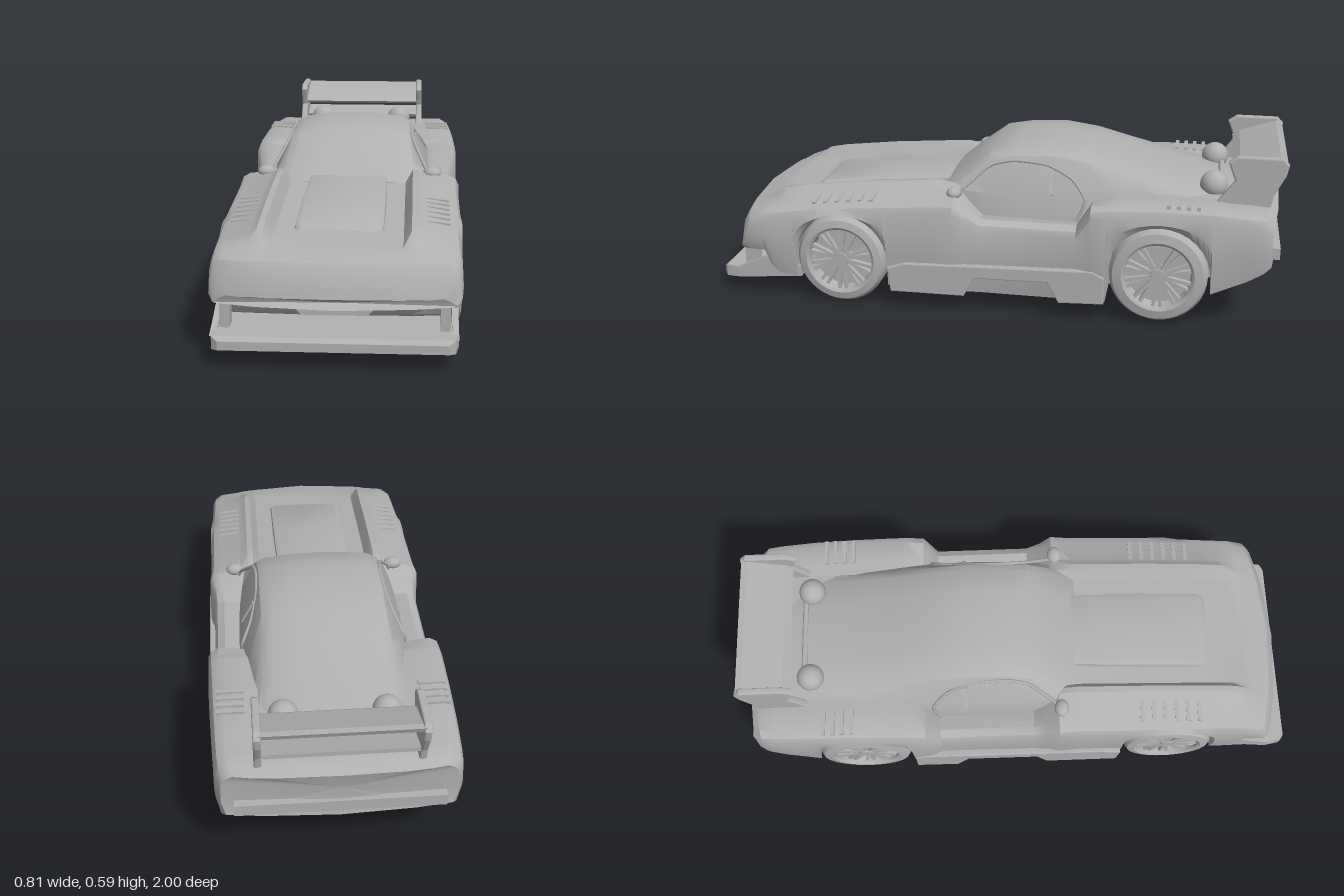
import * as THREE from 'three';
import { toCreasedNormals } from 'three/addons/utils/BufferGeometryUtils.js';

const paint = new THREE.MeshStandardMaterial({ color: 0xb0b0b0 });
paint.name = 'plain grey';

// Skin a list of closed rings (front to back, counter-clockwise from the front), with end caps
function loft(rings, crease = 0.6) {
  const pos = [], idx = [], n = rings[0].length;
  rings.forEach(r => r.forEach(p => pos.push(...p)));
  for (let i = 0; i < rings.length - 1; i++) {
    for (let k = 0; k < n; k++) {
      const a = i * n + k, b = i * n + (k + 1) % n, d = a + n, c = b + n;
      idx.push(a, d, b, b, d, c);
    }
  }
  [0, rings.length - 1].forEach((i, back) => {
    const mid = [0, 1, 2].map(j => rings[i].reduce((s, p) => s + p[j], 0) / n);
    const m = pos.length / 3;
    pos.push(...mid);
    for (let k = 0; k < n; k++) {
      const a = i * n + k, b = i * n + (k + 1) % n;
      if (back) idx.push(m, b, a); else idx.push(m, a, b);
    }
  });
  const g = new THREE.BufferGeometry();
  g.setAttribute('position', new THREE.Float32BufferAttribute(pos, 3));
  g.setIndex(idx);
  return toCreasedNormals(g, crease);
}

// Complete a right-to-left symmetric ring from its +x half (first and last points on the centre line)
const mirrorRing = half => [...half, ...half.slice(1, -1).reverse().map(([x, y, z]) => [-x, y, z])];

// Linear interpolation in a table whose first column is descending z
function sample(table, z) {
  let i = 0;
  while (i < table.length - 2 && z < table[i + 1][0]) i++;
  const a = table[i], b = table[i + 1];
  const t = THREE.MathUtils.clamp((a[0] - z) / (a[0] - b[0]), 0, 1);
  return a.map((v, j) => v + (b[j] - v) * t);
}

function add(parent, name, geo, x = 0, y = 0, z = 0) {
  const m = new THREE.Mesh(geo, paint);
  m.name = name;
  m.position.set(x, y, z);
  parent.add(m);
  return m;
}

const box = (w, h, d) => new THREE.BoxGeometry(w, h, d);
const axles = [
  { z: 0.54, y: 0.162, r: 0.162, arch: 0.17 },
  { z: -0.585, y: 0.185, r: 0.168, arch: 0.176 },
];

// z, half width, underside, shoulder, hood rail, centre height
const bodyTable = [
  [0.97, 0.37, 0.18, 0.205, 0.21, 0.21], [0.955, 0.385, 0.175, 0.27, 0.275, 0.275],
  [0.93, 0.388, 0.175, 0.305, 0.31, 0.31], [0.86, 0.39, 0.175, 0.325, 0.33, 0.33],
  [0.83, 0.39, 0.12, 0.33, 0.345, 0.335], [0.78, 0.39, 0.09, 0.335, 0.375, 0.338],
  [0.71, 0.39, 0.08, 0.345, 0.388, 0.345], [0.5, 0.395, 0.08, 0.37, 0.412, 0.365],
  [0.2, 0.395, 0.07, 0.395, 0.435, 0.39], [0.13, 0.4, 0.07, 0.4, 0.42, 0.4],
  [0.09, 0.388, 0.07, 0.37, 0.38, 0.4], [0.04, 0.385, 0.07, 0.335, 0.32, 0.4],
  [-0.3, 0.385, 0.07, 0.335, 0.32, 0.4], [-0.35, 0.405, 0.07, 0.415, 0.395, 0.4],
  [-0.42, 0.405, 0.08, 0.425, 0.42, 0.42], [-0.6, 0.4, 0.1, 0.432, 0.43, 0.43],
  [-0.76, 0.395, 0.13, 0.43, 0.425, 0.43], [-0.9, 0.39, 0.185, 0.42, 0.42, 0.42],
  [-0.96, 0.385, 0.215, 0.415, 0.415, 0.415], [-0.985, 0.37, 0.235, 0.395, 0.395, 0.395],
];

function bodyGeometry() {
  const zs = bodyTable.map(r => r[0]);
  axles.forEach(a => {
    zs.push(a.z + a.arch + 0.002, a.z - a.arch - 0.002);
    for (let i = 0; i <= 16; i++) zs.push(a.z + a.arch * Math.cos(i / 16 * Math.PI));
  });
  zs.sort((a, b) => b - a);
  return loft(zs.map(z => {
    const [, w, yb, ys, yr, yc] = sample(bodyTable, z);
    let ya = yb;
    axles.forEach(a => {
      const q = a.arch ** 2 - (z - a.z) ** 2;
      if (q > -1e-9) ya = Math.max(ya, a.y + Math.sqrt(Math.max(q, 0)));
    });
    const side = Math.max(ys - 0.035, ya + 0.006);
    const half = [[0, yb], [0.235, yb], [0.235, ya], [w - 0.015, ya], [w, ya + (side - ya) * 0.45],
      [w - 0.004, side], [w - 0.014, Math.max(ys - 0.012, side + 0.004)], [w - 0.04, ys + 0.003],
      [0.28, ys + (yr - ys) * 0.4], [0.25, yr], [0.23, yr], [0.205, yc], [0, yc + 0.004]];
    // bow the nose and tail in plan
    const bow = THREE.MathUtils.smoothstep(z, 0.72, 0.97) * 0.06 - THREE.MathUtils.smoothstep(-z, 0.77, 0.98) * 0.03;
    return mirrorRing(half.map(([x, y]) => [x, y, z - bow * (x / 0.39) ** 2]));
  }));
}

// z, belt half width, roof height, roof half width
const cabinTable = [
  [0.21, 0.255, 0.395, 0.22], [0.12, 0.265, 0.47, 0.215], [0.03, 0.275, 0.538, 0.205],
  [-0.06, 0.28, 0.556, 0.2], [-0.2, 0.283, 0.563, 0.2], [-0.32, 0.28, 0.546, 0.2],
  [-0.45, 0.27, 0.51, 0.205], [-0.6, 0.255, 0.472, 0.21], [-0.74, 0.25, 0.443, 0.21], [-0.84, 0.245, 0.425, 0.21],
];
function cabinGeometry() {
  return loft(cabinTable.map(([z, b, t, r]) => mirrorRing([
    [0, 0.3, z], [b + 0.015, 0.3, z], [b, Math.min(0.41, t - 0.03), z], [r + 0.015, t - 0.025, z],
    [r - 0.015, t - 0.008, z], [r * 0.5, t + 0.002, z], [0, t + 0.006, z]])), 0.5);
}

function wheel(side, axle, name) {
  const g = new THREE.Group(), r = axle.r;
  g.name = name;
  const profile = [[0, -0.07], [0.12, -0.07], [r - 0.012, -0.066], [r, -0.045], [r, 0.045], [r - 0.012, 0.064],
    [0.125, 0.07], [0.116, 0.064], [0.11, 0.02], [0, 0.02]].map(p => new THREE.Vector2(...p));
  add(g, 'tyre', toCreasedNormals(new THREE.LatheGeometry(profile, 40), 0.7));
  add(g, 'hub', new THREE.CylinderGeometry(0.025, 0.034, 0.04, 16), 0, 0.04, 0);
  // paired spokes
  for (let i = 0; i < 10; i++) {
    for (const s of [-1, 1]) {
      const geo = box(0.092, 0.018, 0.011);
      geo.translate(0.07, 0.047, 0).rotateY(i / 10 * Math.PI * 2 + s * 0.11);
      add(g, 'spoke', geo);
    }
  }
  g.rotation.z = -side * Math.PI / 2;
  g.position.set(side * 0.324, axle.y, axle.z);
  return g;
}

// Extrude a side outline given as (z, y), centred on x
function sidePlate(points, thick, bevel = 0) {
  const shape = new THREE.Shape(points.map(([z, y]) => new THREE.Vector2(-z, y)));
  const geo = new THREE.ExtrudeGeometry(shape, { depth: thick, bevelEnabled: bevel > 0, bevelSize: bevel, bevelThickness: bevel, bevelSegments: 2 });
  return geo.translate(0, 0, -thick / 2).rotateY(Math.PI / 2);
}

export function createModel() {
  const car = new THREE.Group();
  car.name = 'raceCar';
  add(car, 'body', bodyGeometry());
  add(car, 'cabin', cabinGeometry());

  // raised hood panel
  add(car, 'hoodPanel', loft([[0.7, 0.13, 0.347], [0.675, 0.14, 0.368], [0.45, 0.14, 0.394], [0.2, 0.135, 0.412], [0.15, 0.13, 0.41]].map(
    ([z, w, y]) => mirrorRing([[0, 0.32, z], [w + 0.012, 0.32, z], [w, y - 0.006, z], [w - 0.015, y, z], [0, y, z]]))));

  // front splitter
  add(car, 'splitter', loft([[1, 0.345, 0.06, 0.088], [0.985, 0.365, 0.058, 0.1], [0.93, 0.375, 0.06, 0.1], [0.7, 0.36, 0.075, 0.115]].map(
    ([z, w, lo, hi]) => mirrorRing([[0, lo, z], [w, lo, z], [w, hi, z], [0, hi, z]]))));
  // central lip below the nose
  add(car, 'chinLip', loft([[0.925, 0.1, 0.15], [0.82, 0.13, 0.14]].map(
    ([z, w, lo]) => mirrorRing([[0, lo, z], [w, lo, z], [w + 0.04, 0.19, z], [0, 0.19, z]]))));
  // tail bumper ledge
  add(car, 'tailLedge', box(0.66, 0.04, 0.03), 0, 0.275, -0.972);

  const endPlate = [[-0.77, 0.42], [-0.83, 0.5], [-0.805, 0.565], [-0.83, 0.583], [-0.975, 0.583], [-0.992, 0.565],
    [-0.985, 0.53], [-0.95, 0.46], [-0.94, 0.41]];
  const blade = [[-0.815, 0.515], [-0.84, 0.535], [-0.97, 0.578], [-0.992, 0.578], [-0.985, 0.56], [-0.9, 0.52], [-0.83, 0.505]];
  add(car, 'wingBlade', sidePlate(blade, 0.5));
  add(car, 'lowerWing', sidePlate([[-0.86, 0.45], [-0.96, 0.475], [-0.96, 0.46], [-0.87, 0.435]], 0.48));
  const bar = new THREE.CylinderGeometry(0.01, 0.01, 0.33, 10).rotateZ(Math.PI / 2);
  add(car, 'lampBar', bar, 0, 0.44, -0.78);

  for (const s of [-1, 1]) {
    axles.forEach((a, i) => car.add(wheel(s, a, i ? 'rearWheel' : 'frontWheel')));
    add(car, 'wingEndPlate', sidePlate(endPlate, 0.012, 0.006), s * 0.252);
    add(car, 'roofLamp', new THREE.SphereGeometry(0.048, 20, 14), s * 0.165, 0.455, -0.755);
    add(car, 'mirror', new THREE.SphereGeometry(1, 16, 12), s * 0.3, 0.412, 0.14).scale.set(0.032, 0.022, 0.026);
    add(car, 'splitterStrut', box(0.03, 0.1, 0.05), s * 0.335, 0.14, 0.89);
    add(car, 'splitterSide', sidePlate([[0.96, 0.09], [0.9, 0.115], [0.8, 0.16], [0.73, 0.18], [0.725, 0.08]], 0.02), s * 0.365);

    // sill with a raised cut-out
    add(car, 'sideSkirt', sidePlate([[0.35, 0.068], [0.36, 0.15], [0.3, 0.17], [-0.36, 0.19], [-0.4, 0.17], [-0.4, 0.078],
      [-0.25, 0.072], [-0.21, 0.145], [0.05, 0.14], [0.09, 0.07]], 0.03, 0.004), s * 0.388);

    // side window surround
    const sideX = y => s * (y < 0.41 ? 0.282 + (0.41 - y) * 0.136 : 0.282 - (y - 0.41) * 0.54);
    const frame = [[0.12, 0.41], [0.12, 0.34], [0.09, 0.318], [-0.1, 0.316], [-0.27, 0.318], [-0.3, 0.35], [-0.32, 0.41],
      [-0.27, 0.47], [-0.18, 0.51], [-0.06, 0.518], [0.02, 0.5], [0.08, 0.45]];
    const path = new THREE.CatmullRomCurve3(frame.map(([z, y]) => new THREE.Vector3(sideX(y), y, z)), true, 'catmullrom', 0.3);
    add(car, 'windowSurround', new THREE.TubeGeometry(path, 60, 0.006, 6, true));
    add(car, 'windowPillar', box(0.012, 0.09, 0.014), s * 0.258, 0.455, -0.2).rotation.z = s * 0.48;

    // fender louvres, front and rear
    for (let i = 0; i < 6; i++) {
      const z = 0.64 - i * 0.042;
      add(car, 'frontLouvre', box(0.075, 0.012, 0.014), s * 0.315, sample(bodyTable, z)[3] + 0.008, z).rotation.z = -s * 0.12;
    }
    for (let i = 0; i < 4; i++) add(car, 'rearLouvre', box(0.09, 0.012, 0.014), s * 0.33, 0.434, -0.61 - i * 0.033);
  }
  return car;
}
